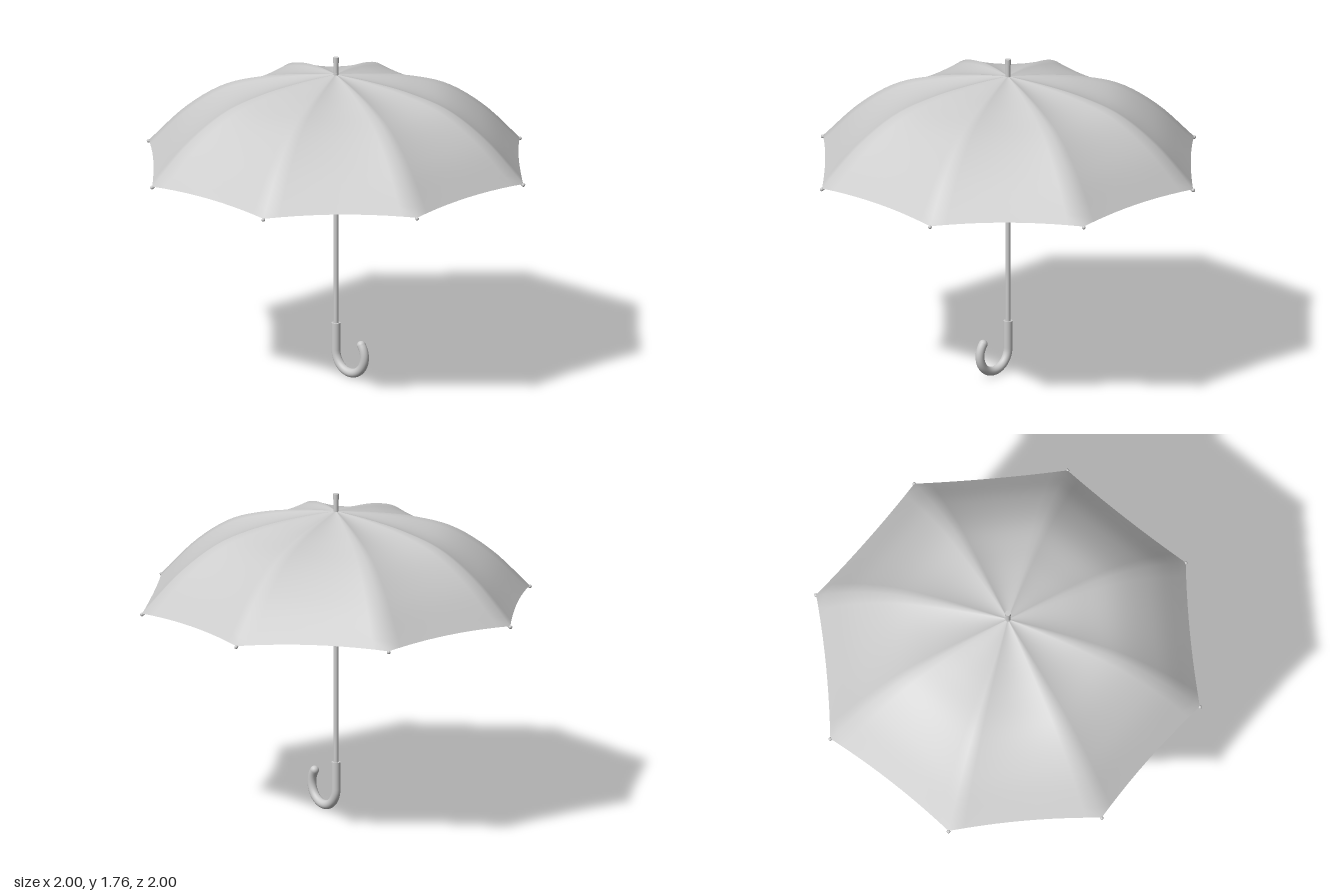
import * as THREE from 'three';

const RIBS = 8;
const ACROSS = 10; // fabric divisions per panel
const RINGS = 24;

// Rib profile: x = radius, y = height
const profile = new THREE.CatmullRomCurve3([
  [0, 1.67], [0.214, 1.648], [0.428, 1.61], [0.642, 1.54], [0.856, 1.395], [1.07, 1.18],
].map(([r, y]) => new THREE.Vector3(r, y, 0)));

const ribAngle = (k) => ((k + 0.5) / RIBS) * Math.PI * 2;
const polar = (r, y, a) => new THREE.Vector3(r * Math.cos(a), y, r * Math.sin(a));

// Fabric stretched between the ribs, sagging and hollow-edged mid panel
function canopyGeometry() {
  const positions = [], index = [];
  const count = RIBS * ACROSS;
  for (let i = 0; i <= RINGS; i++) {
    const u = i / RINGS;
    for (let j = 0; j < count; j++) {
      const k = Math.floor(j / ACROSS), t = (j % ACROSS) / ACROSS;
      const slack = 4 * t * (1 - t);
      const p = profile.getPoint(u * (1 - 0.015 * slack));
      const v = polar(p.x, p.y, ribAngle(k)).lerp(polar(p.x, p.y, ribAngle(k + 1)), t);
      v.y -= 0.025 * Math.sin(Math.PI * u) * slack;
      positions.push(v.x, v.y, v.z);
      if (i < RINGS) {
        const n = (j + 1) % count;
        const a = i * count + j, b = a + count, c = i * count + n, d = c + count;
        if (i > 0) index.push(a, c, b);
        index.push(c, d, b);
      }
    }
  }
  const g = new THREE.BufferGeometry();
  g.setAttribute('position', new THREE.Float32BufferAttribute(positions, 3));
  g.setIndex(index);
  g.computeVertexNormals();
  return g;
}

export function createModel() {
  const model = new THREE.Group();
  const grey = new THREE.MeshStandardMaterial({ color: 0xcccccc });
  const fabric = new THREE.MeshStandardMaterial({ color: 0xcccccc, side: THREE.DoubleSide });

  const add = (name, geometry, parent = model, material = grey) => {
    const mesh = new THREE.Mesh(geometry, material);
    mesh.name = name;
    parent.add(mesh);
    return mesh;
  };
  const rod = (name, y0, y1, r0, r1 = r0) => {
    const mesh = add(name, new THREE.CylinderGeometry(r1, r0, y1 - y0, 20));
    mesh.position.y = (y0 + y1) / 2;
    return mesh;
  };

  add('canopy', canopyGeometry(), model, fabric);

  // Shaft and its fittings
  rod('shaft', 0.2, 1.68, 0.0135);
  rod('ferrule', 1.655, 1.745, 0.013);
  rod('ferruleCap', 1.735, 1.765, 0.0155);
  rod('runnerCollar', 1.37, 1.42, 0.026);
  rod('runnerSleeve', 1.3, 1.48, 0.0185);
  rod('crownHub', 1.6, 1.65, 0.024);

  // Ribs with end beads, and stretchers from the runner
  const ribPoints = [];
  for (let i = 0; i <= 16; i++) {
    const u = i / 16;
    const p = profile.getPoint(u), t = profile.getTangent(u);
    ribPoints.push(new THREE.Vector3(p.x + t.y * 0.008, p.y - t.x * 0.008, 0));
  }
  const ribGeometry = new THREE.TubeGeometry(new THREE.CatmullRomCurve3(ribPoints), 40, 0.007, 8);
  const beadGeometry = new THREE.SphereGeometry(0.01, 12, 8);
  const joint = profile.getPoint(0.26);
  const stretcherGeometry = new THREE.TubeGeometry(new THREE.LineCurve3(
    new THREE.Vector3(0.015, 1.46, 0), new THREE.Vector3(joint.x, joint.y - 0.012, 0)), 1, 0.004, 6);
  for (let k = 0; k < RIBS; k++) {
    const arm = new THREE.Group();
    arm.name = 'ribAssembly';
    arm.rotation.y = -ribAngle(k);
    add('rib', ribGeometry, arm);
    add('ribTip', beadGeometry, arm).position.set(1.071, 1.175, 0);
    add('stretcher', stretcherGeometry, arm);
    model.add(arm);
  }

  // Crook handle: straight grip running into a hook
  const R = 0.105, cy = 0.13, end = 0.68;
  const crook = new THREE.CurvePath();
  crook.add(new THREE.LineCurve3(new THREE.Vector3(0, 0.28, 0), new THREE.Vector3(0, cy, 0)));
  const arc = [];
  for (let i = 0; i <= 20; i++) {
    const a = Math.PI + (i / 20) * (Math.PI + end);
    arc.push(new THREE.Vector3(R + R * Math.cos(a), cy + R * Math.sin(a), 0));
  }
  crook.add(new THREE.CatmullRomCurve3(arc));
  add('handle', new THREE.TubeGeometry(crook, 60, 0.024, 20));
  add('handleEnd', new THREE.SphereGeometry(0.024, 20, 14)).position.copy(arc[20]);
  rod('handleRim', 0.272, 0.282, 0.024);

  return model;
}
